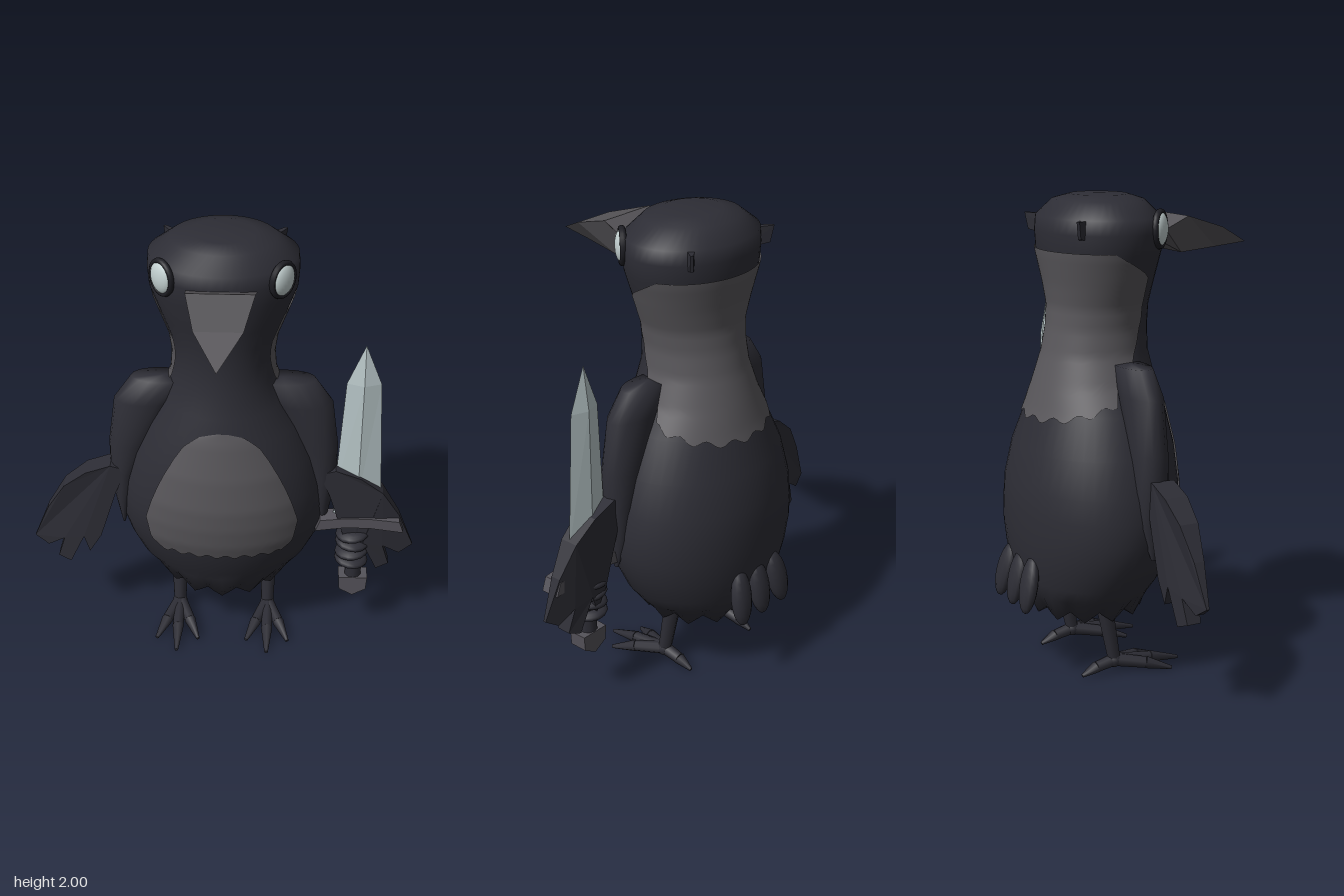
import * as THREE from 'three';
import { mergeVertices } from 'three/addons/utils/BufferGeometryUtils.js';

const mat = (name, color, extra = {}) => Object.assign(new THREE.MeshStandardMaterial({ color, ...extra }), { name });
const rad = THREE.MathUtils.degToRad;
const { lerp, clamp } = THREE.MathUtils;

// Linear lookup in rows sorted by ascending first value
function sample(rows, y) {
  let i = 0;
  while (i < rows.length - 2 && y > rows[i + 1][0]) i++;
  const a = rows[i], b = rows[i + 1];
  const t = clamp((y - a[0]) / (b[0] - a[0]), 0, 1);
  return a.map((n, k) => lerp(n, b[k], t));
}

// Surface from a rule (u, v) -> [x, y, z]
function grid(nu, nv, rule, flat = false) {
  let g = new THREE.PlaneGeometry(1, 1, nu, nv);
  const p = g.attributes.position;
  for (let i = 0; i < p.count; i++) p.setXYZ(i, ...rule(p.getX(i) + 0.5, p.getY(i) + 0.5));
  g.deleteAttribute('uv');
  g.deleteAttribute('normal');
  g = mergeVertices(g, 1e-5);
  if (flat) g = g.toNonIndexed();
  g.computeVertexNormals();
  return g;
}

// Flat plate from an outline, centred on z with thickness set by x
function plate(points, zMid, half) {
  const shape = new THREE.Shape(points.map(([x, y]) => new THREE.Vector2(x, y)));
  const g = new THREE.ExtrudeGeometry(shape, { depth: 1, bevelEnabled: false });
  const p = g.attributes.position;
  for (let i = 0; i < p.count; i++) p.setZ(i, zMid + (p.getZ(i) > 0.5 ? 1 : -1) * half(p.getX(i)));
  g.computeVertexNormals();
  return g;
}

// Body profile: height, half width, front z, back z
const BODY = [
  [0.27, 0.25, 0.02, -0.43], [0.36, 0.335, 0.045, -0.485], [0.42, 0.38, 0.08, -0.505],
  [0.52, 0.425, 0.115, -0.522], [0.62, 0.453, 0.145, -0.53], [0.72, 0.452, 0.16, -0.53],
  [0.82, 0.44, 0.165, -0.525], [0.97, 0.4, 0.152, -0.495], [1.13, 0.325, 0.122, -0.44],
  [1.24, 0.262, 0.09, -0.41], [1.36, 0.217, 0.064, -0.375], [1.46, 0.21, 0.06, -0.355],
  [1.55, 0.222, 0.062, -0.346], [1.64, 0.255, 0.078, -0.358], [1.77, 0.302, 0.105, -0.383],
  [1.85, 0.308, 0.112, -0.388], [1.91, 0.303, 0.106, -0.383], [1.975, 0.215, 0.045, -0.32],
  [1.996, 0.13, -0.02, -0.25], [2.0, 0, -0.135, -0.135],
];
function onBody(angle, y, out = 0) {
  const [, w, f, b] = sample(BODY, y);
  return [(w + out) * Math.sin(angle), y, (f + b) / 2 + ((f - b) / 2 + out) * Math.cos(angle)];
}

// Painted patch lying on the body; edge gives the half angle in degrees by height
function patch(centre, edge, ragged) {
  const low = edge[0][0], high = edge[edge.length - 1][0];
  return grid(48, 32, (u, v) => {
    const y = lerp(low, high, v), s = u * 2 - 1;
    return onBody(centre + s * rad(sample(edge, y)[1]), y + ragged(s) * (1 - v) ** 3, 0.006);
  });
}

function limb(a, b, ra, rb, sides = 8) {
  const A = new THREE.Vector3(...a), B = new THREE.Vector3(...b), d = B.clone().sub(A);
  const g = new THREE.CylinderGeometry(rb, ra, d.length(), sides);
  g.applyQuaternion(new THREE.Quaternion().setFromUnitVectors(new THREE.Vector3(0, 1, 0), d.normalize()));
  return g.translate(...A.add(B).multiplyScalar(0.5).toArray());
}

export function createModel() {
  const root = new THREE.Group();
  root.name = 'bird';
  const plumage = mat('dark plumage', 0x2d2d35);
  const grey = mat('grey plumage', 0x59575b, { side: THREE.DoubleSide });
  const horn = mat('beak grey', 0x555357);
  const rim = mat('eye rim black', 0x1d1d23);
  const white = mat('eye white', 0xc3d0d0);
  const steel = mat('blade steel', 0xb8c6c8);
  const iron = mat('hilt iron', 0x55535a);
  const add = (name, geometry, material, parent = root) => {
    const m = new THREE.Mesh(geometry, material);
    m.name = name;
    parent.add(m);
    return m;
  };
  const group = (name) => {
    const g = new THREE.Group();
    g.name = name;
    root.add(g);
    return g;
  };

  // Body and head in one skin, with a scalloped hem and closed underside
  add('body', grid(48, BODY.length, (u, v) => {
    const row = Math.round(v * BODY.length), a = (u * 2 - 1) * Math.PI;
    if (row === 0) return [0, 0.31, -0.2];
    const p = onBody(a, BODY[row - 1][0]);
    if (row === 1) p[1] -= 0.022 * Math.cos(12 * a);
    return p;
  }), plumage);

  // Belly and nape patches
  add('bellyPatch', patch(0, [[0.56, 36], [0.6, 42], [0.72, 46], [0.9, 40], [1.05, 33], [1.12, 28], [1.17, 18], [1.19, 4]],
    (s) => 0.01 * Math.sin(s * 22)), grey);
  add('napePatch', patch(Math.PI, [[1.1, 80], [1.2, 84], [1.3, 104], [1.4, 113], [1.5, 119], [1.68, 116], [1.78, 73]],
    (s) => 0.08 * s * s + 0.012 * Math.sin(s * 24)), grey);

  // Beak: z, top half width, top y, bottom half width, bottom y
  const BEAK = [[0.04, 0.13, 1.83, 0.08, 1.81], [0.1, 0.14, 1.85, 0.09, 1.8], [0.21, 0.135, 1.9, 0.075, 1.745],
    [0.4, 0.095, 1.843, 0.03, 1.754], [0.57, 0, 1.765, 0, 1.765]];
  add('beak', grid(4, 4, (u, v) => {
    const [z, wt, yt, wb, yb] = BEAK[Math.round(v * 4)];
    return [[wt, yt, z], [-wt, yt, z], [-wb, yb, z], [wb, yb, z]][Math.round(u * 4) % 4];
  }, true), horn);

  // Tail: three overlapping leaf feathers
  for (const k of [-1, 0, 1]) {
    const leaf = add('tailFeather', new THREE.SphereGeometry(1, 12, 10), plumage);
    leaf.scale.set(0.055, 0.12, 0.034);
    leaf.position.set(k * 0.12, 0.42, -0.525);
    leaf.rotation.set(0.22, 0, k * 0.12);
  }

  const ARM = [[0.56, 0.44, 0.45, 0.01], [0.7, 0.4, 0.475, 0.055], [0.85, 0.37, 0.494, 0.068], [1.0, 0.31, 0.495, 0.075],
    [1.22, 0.2, 0.465, 0.078], [1.33, 0.13, 0.39, 0.065], [1.334, 0.25, 0.25, 0]];
  const FAN = [[0.42, 0.88], [0.49, 0.9], [0.6, 0.86], [0.7, 0.78], [0.78, 0.65], [0.85, 0.48], [0.79, 0.44],
    [0.714, 0.49], [0.746, 0.386], [0.69, 0.365], [0.624, 0.51], [0.6, 0.43], [0.545, 0.52], [0.47, 0.76]];

  for (const s of [1, -1]) {
    const side = s > 0 ? 'left' : 'right';

    // Eye set on the curve of the head
    const eye = group(side + 'Eye');
    eye.position.set(s * 0.238, 1.865, 0.018);
    eye.rotation.y = s * rad(48);
    add('eyeball', new THREE.SphereGeometry(1, 24, 16), white, eye).scale.set(0.06, 0.068, 0.03);
    add('eyeRim', new THREE.TorusGeometry(0.062, 0.01, 8, 28), rim, eye).scale.set(1, 1.13, 1.4);

    // Small tuft behind the head
    const tuft = add(side + 'Tuft', plate([[-0.06, -0.045], [0.05, -0.025], [0.065, 0.045], [-0.06, 0.04]], 0,
      (x) => (x > 0 ? 0.006 : 0.024)), plumage);
    tuft.position.set(s * 0.205, 1.865, -0.305);
    tuft.rotation.y = s > 0 ? rad(45) : rad(135);

    // Wing: upper arm and splayed flight feathers
    const wing = group(side + 'Wing');
    add('upperWing', grid(16, ARM.length - 1, (u, v) => {
      const [y, inner, outer, t] = ARM[Math.round(v * (ARM.length - 1))], a = u * Math.PI * 2;
      return [s * (inner + outer) / 2 + (outer - inner) / 2 * Math.sin(a), y, -0.12 + t * Math.cos(a)];
    }), plumage, wing);
    add('flightFeathers', plate(FAN.map(([x, y]) => [s * x, y]), -0.105,
      (x) => lerp(0.05, 0.006, clamp((Math.abs(x) - 0.66) / 0.19, 0, 1))), plumage, wing);

    // Leg and clawed foot
    const leg = group(side + 'Leg');
    const ankle = [s * 0.205, 0.058, -0.175];
    add('shin', limb(ankle, [s * 0.205, 0.33, -0.225], 0.028, 0.038), plumage, leg);
    add('ankle', new THREE.SphereGeometry(0.033, 10, 8).translate(...ankle), plumage, leg);
    for (const [dx, z] of [[-0.095, 0.05], [0, 0.13], [0.095, 0.05], [0, -0.325]]) {
      const x = s * 0.205 + dx;
      const mid = [s * 0.205 + dx * 0.55, 0.04, lerp(-0.175, z, 0.55)];
      add('toe', limb(ankle, mid, 0.028, 0.024), plumage, leg);
      add('claw', limb(mid, [x, 0.012, z], 0.026, 0.008), plumage, leg);
    }
  }

  // Sword held in the left wing
  const sword = group('sword');
  const BLADE = [[0.6, 0.1, 0.032], [0.74, 0.104, 0.032], [1.32, 0.073, 0.026], [1.505, 0, 0]];
  add('blade', grid(4, 3, (u, v) => {
    const [y, w, t] = BLADE[Math.round(v * 3)], a = u * Math.PI * 2;
    return [0.59 + w * Math.sin(a), y, -0.1 + t * Math.cos(a)];
  }, true), steel, sword);
  add('guard', plate([[0.41, 0.58], [0.54, 0.6], [0.65, 0.6], [0.8, 0.58], [0.78, 0.637], [0.65, 0.65], [0.54, 0.65], [0.43, 0.637]],
    -0.09, () => 0.042), iron, sword);
  add('grip', limb([0.59, 0.29, -0.09], [0.59, 0.61, -0.09], 0.038, 0.036, 10), plumage, sword);
  add('pommel', plate([[0.525, 0.315], [0.53, 0.25], [0.59, 0.215], [0.65, 0.25], [0.655, 0.315]], -0.09, () => 0.04), iron, sword);

  // Fingers wrapped round the grip
  for (let i = 0; i < 4; i++) {
    const finger = add('finger', new THREE.SphereGeometry(1, 14, 10), plumage, sword);
    finger.scale.set(0.076, 0.029, 0.075);
    finger.position.set(0.578, 0.4 + i * 0.048, -0.09);
    finger.rotation.z = 0.1 * (i % 2 ? 1 : -1);
  }
  return root;
}
